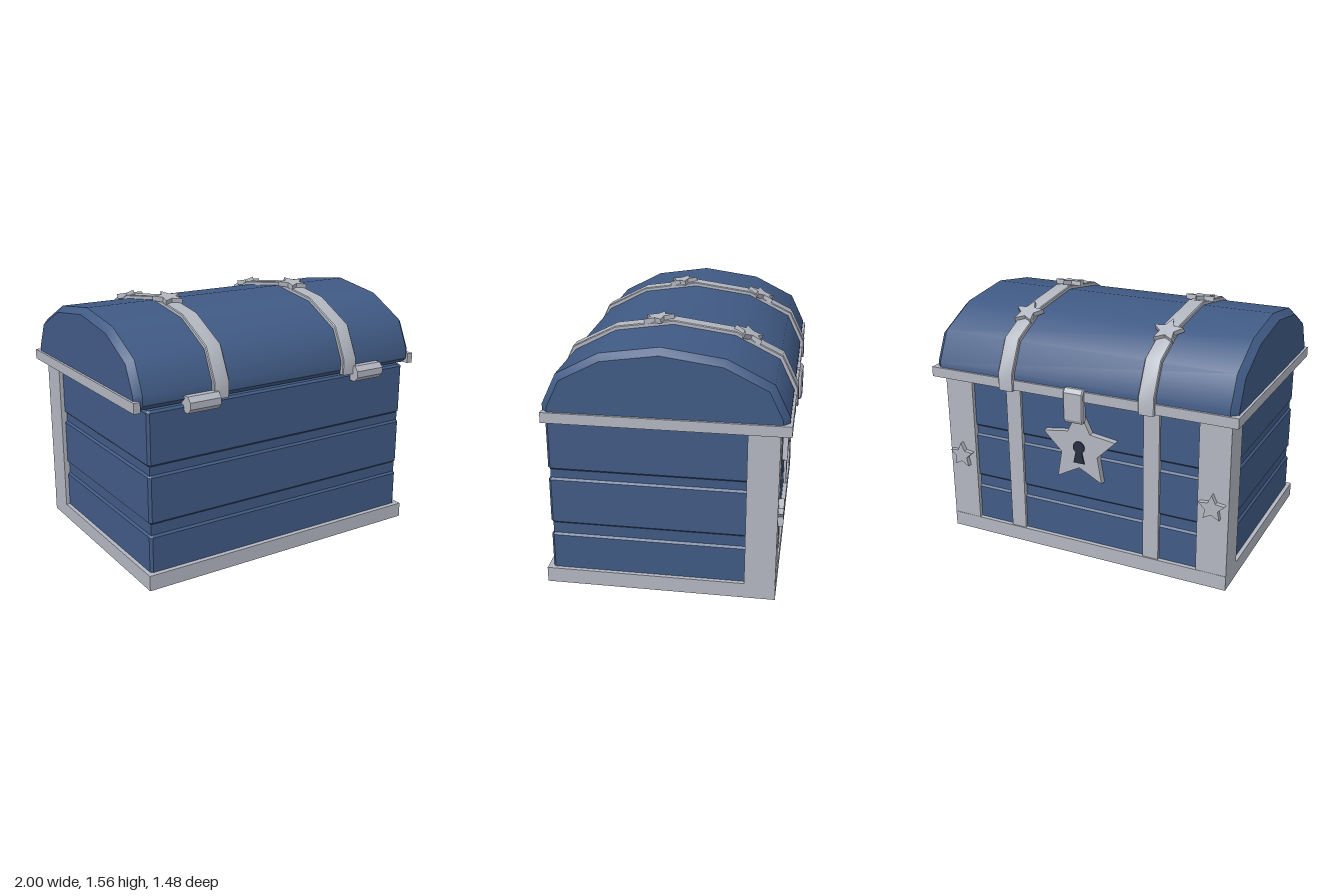
import * as THREE from 'three';
import { toCreasedNormals } from 'three/addons/utils/BufferGeometryUtils.js';

export function createModel() {
  const blue = new THREE.MeshStandardMaterial({ name: 'bluePaint', color: 0x405a84 });
  const metal = new THREE.MeshStandardMaterial({ name: 'paleMetal', color: 0xb2b6c0 });
  const dark = new THREE.MeshStandardMaterial({ name: 'darkKeyhole', color: 0x262f40 });
  const chest = new THREE.Group();
  chest.name = 'chest';

  const add = (name, geometry, material) => {
    const mesh = new THREE.Mesh(geometry, material);
    mesh.name = name;
    chest.add(mesh);
    return mesh;
  };
  // Box given by its limits
  const box = (name, material, x0, x1, y0, y1, z0, z1) => {
    const g = new THREE.BoxGeometry(x1 - x0, y1 - y0, z1 - z0);
    g.translate((x0 + x1) / 2, (y0 + y1) / 2, (z0 + z1) / 2);
    return add(name, g, material);
  };
  const polygon = (points) => new THREE.Shape(points.map(([x, y]) => new THREE.Vector2(x, y)));
  // Chamfered extrusion; the chamfer is cut inside the outline and the width
  const extrude = (shape, width, size = 0, thickness = size) => new THREE.ExtrudeGeometry(shape, {
    depth: width - 2 * thickness, curveSegments: 8, bevelEnabled: size > 0,
    bevelSize: size, bevelThickness: thickness, bevelOffset: -size, bevelSegments: 1,
  }).translate(0, 0, thickness);
  // Extrusion of a [z, y] profile along x, centred on x
  const extrudeX = (points, x, width, size, thickness) => {
    const g = extrude(polygon(points.map(([z, y]) => [-z, y])), width, size, thickness);
    return g.translate(0, 0, -width / 2).rotateY(Math.PI / 2).translate(x, 0, 0);
  };

  // Body: recessed core with three chamfered plank courses around it
  const zBack = 0.67, zFace = -0.635;
  box('bodyCore', blue, -0.908, 0.908, 0.008, 1.045, zFace + 0.012, zBack - 0.012);
  const c = 0.015, w = 0.92;
  const outline = [[-w + c, -zBack], [w - c, -zBack], [w, -zBack + c], [w, -zFace - c],
    [w - c, -zFace], [-w + c, -zFace], [-w, -zFace - c], [-w, -zBack + c]];
  for (const [y0, y1] of [[0.008, 0.32], [0.385, 0.68], [0.73, 1.055]]) {
    const g = extrude(polygon(outline), y1 - y0, 0.013);
    add('plankCourse', g.rotateX(-Math.PI / 2).translate(0, y0, 0), blue);
  }

  // Base frame
  box('baseRail', metal, -0.945, 0.945, 0, 0.093, 0.665, 0.7);
  box('baseRail', metal, -0.945, 0.945, 0, 0.093, -0.662, -0.63);
  for (const s of [-1, 1]) {
    box('baseSideRail', metal, s * 0.93 - 0.015, s * 0.93 + 0.015, 0, 0.093, -0.63, 0.665);
  }

  // Domed lid, profile as [z, y]
  const arch = [[0.672, 1.15], [0.587, 1.33], [0.34, 1.46], [0, 1.51],
    [-0.36, 1.46], [-0.62, 1.33], [-0.707, 1.15]];
  const lid = [[0.64, 1.06], [0.672, 1.09], ...arch, [-0.707, 1.09], [-0.68, 1.06]];
  add('lid', toCreasedNormals(extrudeX(lid, 0, 1.97, 0.036, 0.04), 0.69), blue);

  // Lid rim on three sides
  box('lidRimFace', metal, -1, 1, 1.055, 1.117, -0.722, -0.685);
  for (const s of [-1, 1]) {
    box('lidRimSide', metal, s * 0.98 - 0.02, s * 0.98 + 0.02, 1.055, 1.117, -0.69, 0.672);
  }

  // Straps over the lid
  const outer = [[0.694, 1.06], [0.696, 1.155], [0.603, 1.35], [0.345, 1.482], [0, 1.533],
    [-0.365, 1.482], [-0.636, 1.35], [-0.731, 1.155], [-0.733, 1.045]];
  const inner = [[0.66, 1.06], ...arch.map(([z, y]) => [z * 0.985, y - 0.008]), [-0.695, 1.045]];
  const band = [...outer, ...inner.reverse()];

  // Five-pointed star: pos is the back centre, up the direction of its tip
  const star = (name, r, ratio, depth, pos, up, normal) => {
    const points = [];
    for (let i = 0; i < 10; i++) {
      const a = Math.PI / 2 + i * Math.PI / 5, q = i % 2 ? r * ratio : r;
      points.push([q * Math.cos(a), q * Math.sin(a)]);
    }
    const n = new THREE.Vector3(...normal).normalize(), u = new THREE.Vector3(...up).normalize();
    const m = new THREE.Matrix4().makeBasis(u.clone().cross(n), u, n).setPosition(...pos);
    add(name, extrude(polygon(points), depth).applyMatrix4(m), metal);
  };

  for (const s of [-1, 1]) {
    const x = s * 0.46;
    add('lidStrap', toCreasedNormals(extrudeX(band, x, 0.1, 0.005), 0.69), metal);
    box('faceStrap', metal, x - 0.05, x + 0.05, 0.09, 1.06, -0.653, -0.61);
    star('lidStar', 0.095, 0.48, 0.03, [x, 1.515, 0.093], [0, 0.147, -1], [0, 1, 0.147]);
    star('lidStar', 0.095, 0.48, 0.03, [x, 1.442, -0.431], [0, 0.48, 1], [0, 1, -0.48]);

    // Corner post with its star
    box('cornerPost', metal, s * 0.85 - 0.095, s * 0.85 + 0.095, 0.09, 1.057, -0.66, -0.48);
    star('postStar', 0.084, 0.48, 0.035, [s * 0.85, 0.53, -0.655], [0, 1, 0], [0, 0, -1]);

    // Hinge barrel
    const hinge = new THREE.CylinderGeometry(0.052, 0.052, 0.2, 8).toNonIndexed();
    hinge.rotateY(Math.PI / 8).rotateZ(Math.PI / 2).translate(s * 0.59, 1.063, 0.69);
    hinge.computeVertexNormals();
    add('hinge', hinge, metal);
  }

  // Hasp hanging from the lid
  const hasp = [[-0.7, 1.13], [-0.725, 1.13], [-0.745, 1.105], [-0.745, 0.94],
    [-0.735, 0.92], [-0.71, 0.92], [-0.7, 0.94]];
  add('hasp', extrudeX(hasp, 0, 0.13, 0.008), metal);

  // Star lock plate and keyhole
  star('lockPlate', 0.252, 0.5, 0.05, [0, 0.733, -0.625], [0, 1, 0], [0, 0, -1]);
  const keyhole = new THREE.Shape();
  keyhole.moveTo(-0.036, -0.07);
  keyhole.lineTo(0.036, -0.07);
  keyhole.lineTo(0.02, 0.003);
  keyhole.absarc(0, 0.032, 0.038, -0.9, Math.PI + 0.9, false);
  keyhole.lineTo(-0.02, 0.003);
  keyhole.closePath();
  add('keyhole', extrude(keyhole, 0.009).rotateY(Math.PI).translate(0, 0.71, -0.674), dark);

  return chest;
}
